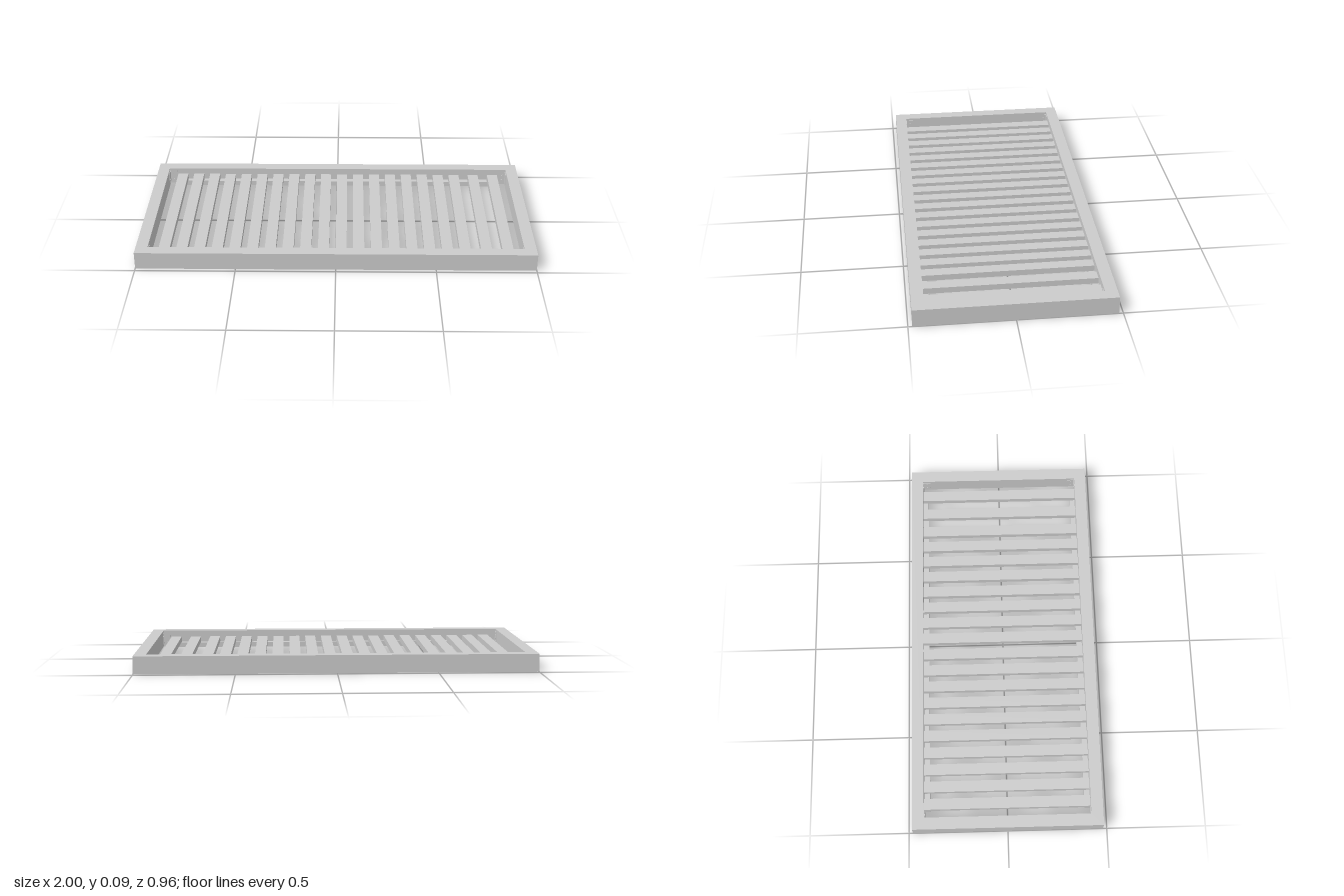
import * as THREE from 'three';

const material = new THREE.MeshStandardMaterial({ color: 0xcccccc });

const W = 1, D = 0.48, H = 0.09, BORDER = 0.06; // half width, half depth, height
const IX = W - BORDER, IZ = D - BORDER;         // inner opening

function add(parent, name, geometry, x = 0, y = 0, z = 0) {
  const mesh = new THREE.Mesh(geometry, material);
  mesh.name = name;
  mesh.position.set(x, y, z);
  parent.add(mesh);
  return mesh;
}

function rect(target, x, y) {
  target.moveTo(-x, -y);
  target.lineTo(x, -y);
  target.lineTo(x, y);
  target.lineTo(-x, y);
  target.closePath();
  return target;
}

// Thin plate with two screw holes, lying in the xy plane
function plateGeometry(width, height, thick) {
  const shape = rect(new THREE.Shape(), width / 2, height / 2);
  for (const y of [-0.25, 0.25]) {
    const hole = new THREE.Path();
    hole.absarc(0, y * height, 0.005, 0, Math.PI * 2, true);
    shape.holes.push(hole);
  }
  return new THREE.ExtrudeGeometry(shape, { depth: thick, bevelEnabled: false, curveSegments: 6 });
}

export function createModel() {
  const model = new THREE.Group();
  model.name = 'slattedBedBase';

  // Outer frame
  const outline = rect(new THREE.Shape(), W, D);
  outline.holes.push(rect(new THREE.Path(), IX, IZ));
  const frame = new THREE.ExtrudeGeometry(outline, { depth: H, bevelEnabled: false });
  frame.rotateX(-Math.PI / 2);
  add(model, 'frame', frame);

  // Ledges along the long sides that carry the slats
  const ledgeH = 0.027, ledgeD = 0.028;
  for (const s of [-1, 1]) {
    add(model, s > 0 ? 'frontLedge' : 'backLedge',
      new THREE.BoxGeometry(1.788, ledgeH, ledgeD), 0, ledgeH / 2, s * (IZ - ledgeD / 2));
  }

  // Slats: eighteen evenly spaced, the last two set wider apart
  const slats = new THREE.Group();
  slats.name = 'slats';
  model.add(slats);
  const slatH = 0.03;
  const slat = new THREE.BoxGeometry(0.056, slatH, IZ * 2);
  const centres = Array.from({ length: 18 }, (_, i) => -0.866 + i * 0.0892);
  centres.push(0.758, 0.866);
  centres.forEach((x) => add(slats, 'slat', slat, x, ledgeH + slatH / 2, 0));

  // Angle brackets inside the four corners
  const leg = 0.04, thick = 0.003, tall = 0.06, midY = 0.047;
  const plate = plateGeometry(leg, tall, thick);
  plate.translate(0, 0, -thick / 2);
  for (const sx of [-1, 1]) {
    for (const sz of [-1, 1]) {
      const bracket = new THREE.Group();
      bracket.name = 'cornerBracket';
      model.add(bracket);
      add(bracket, 'longSidePlate', plate, sx * (IX - leg / 2), midY, sz * (IZ - thick / 2));
      add(bracket, 'shortSidePlate', plate, sx * (IX - thick / 2), midY, sz * (IZ - leg / 2))
        .rotation.y = Math.PI / 2;
    }
  }
  return model;
}
